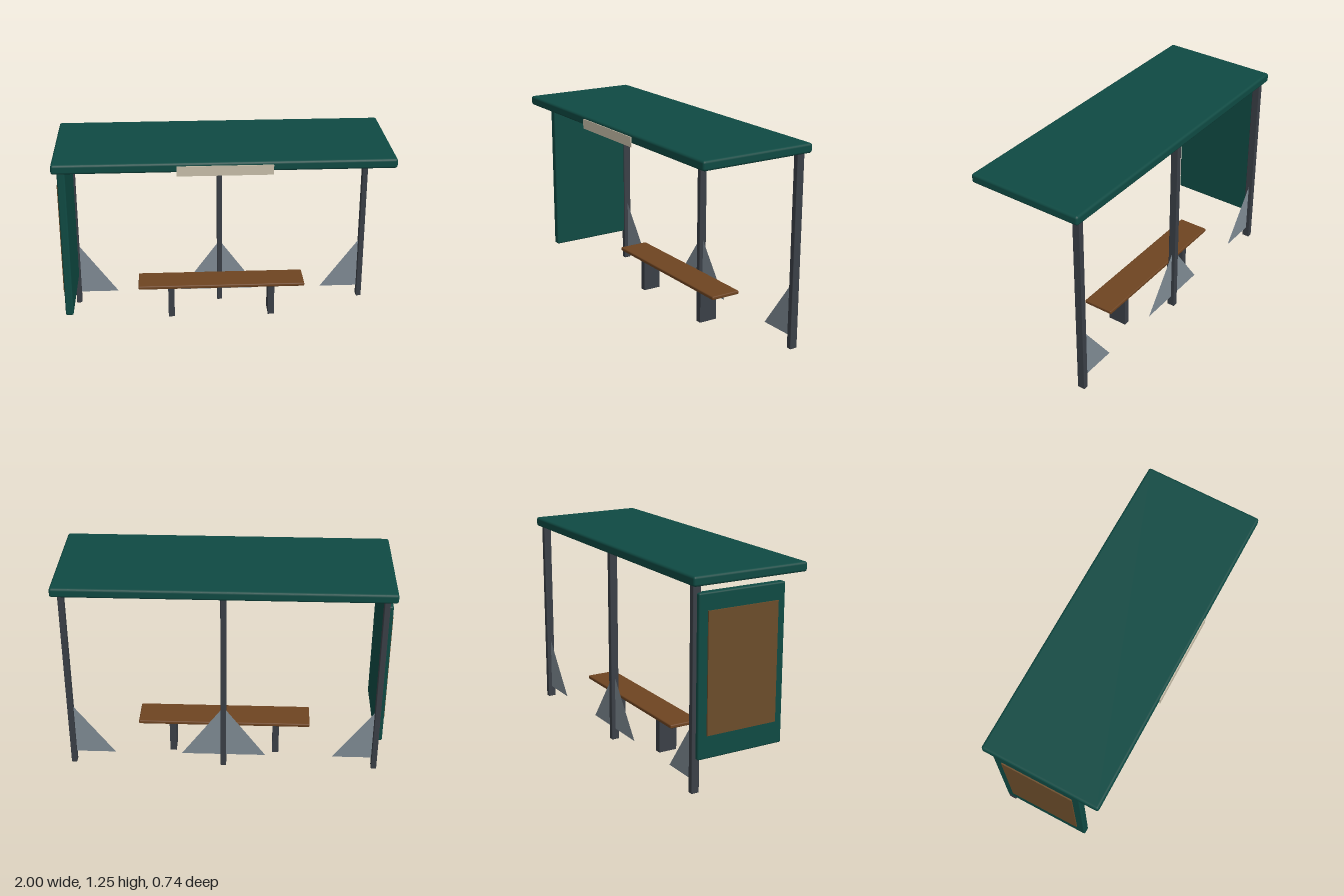
import * as THREE from 'three';
import { RoundedBoxGeometry } from 'three/addons/geometries/RoundedBoxGeometry.js';

const paint = (name, color, side = THREE.FrontSide) => {
  const m = new THREE.MeshStandardMaterial({ color, side });
  m.name = name;
  return m;
};

export function createModel() {
  const group = new THREE.Group();
  group.name = 'busShelter';

  const green = paint('green', 0x0f4a43);
  const steel = paint('steel', 0x3a3f46);
  const wood = paint('wood', 0x6e4421);
  const board = paint('noticeBoard', 0x6b4c2a);
  const cream = paint('cream', 0xc8bfaa);
  const glass = paint('glass', 0x7f8b94, THREE.DoubleSide);

  const add = (name, geometry, material) => {
    const mesh = new THREE.Mesh(geometry, material);
    mesh.name = name;
    group.add(mesh);
    return mesh;
  };

  // Box given by its extents, with an optional edge radius
  const box = (name, material, [x0, x1], [y0, y1], [z0, z1], radius = 0) => {
    const size = [x1 - x0, y1 - y0, z1 - z0];
    const geometry = radius
      ? new RoundedBoxGeometry(...size, 2, radius)
      : new THREE.BoxGeometry(...size);
    add(name, geometry, material)
      .position.set((x0 + x1) / 2, (y0 + y1) / 2, (z0 + z1) / 2);
  };

  // Roof and the sign on its front edge
  box('roof', green, [-1, 1], [1.192, 1.25], [-0.37, 0.368], 0.015);
  box('sign', cream, [-0.28, 0.28], [1.172, 1.232], [0.368, 0.374]);

  // Side wall with a notice board on the outside
  box('sideWall', green, [-0.98, -0.932], [0.202, 1.15], [-0.325, 0.235], 0.01);
  box('noticeBoard', board, [-0.988, -0.98], [0.34, 1.05], [-0.27, 0.185]);

  // Rear posts
  for (const x of [-0.94, 0, 0.94]) {
    box('post', steel, [x - 0.017, x + 0.017], [0, 1.195], [-0.349, -0.3], 0.004);
  }

  // Triangular glass pieces beside the posts
  const pane = (x, direction) => {
    const shape = new THREE.Shape([
      new THREE.Vector2(x, 0.07),
      new THREE.Vector2(x + direction * 0.245, 0.07),
      new THREE.Vector2(x, 0.405),
    ]);
    add('glassPane', new THREE.ShapeGeometry(shape), glass).position.z = -0.325;
  };
  for (const side of [-1, 1]) {
    pane(side * 0.922, -side);
    pane(side * 0.016, side);
  }

  // Bench
  box('benchSeat', wood, [-0.535, 0.535], [0.223, 0.246], [-0.233, -0.037], 0.007);
  for (const x of [-0.325, 0.325]) {
    box('benchLeg', steel, [x - 0.02, x + 0.02], [0, 0.225], [-0.2, -0.08]);
  }

  return group;
}
